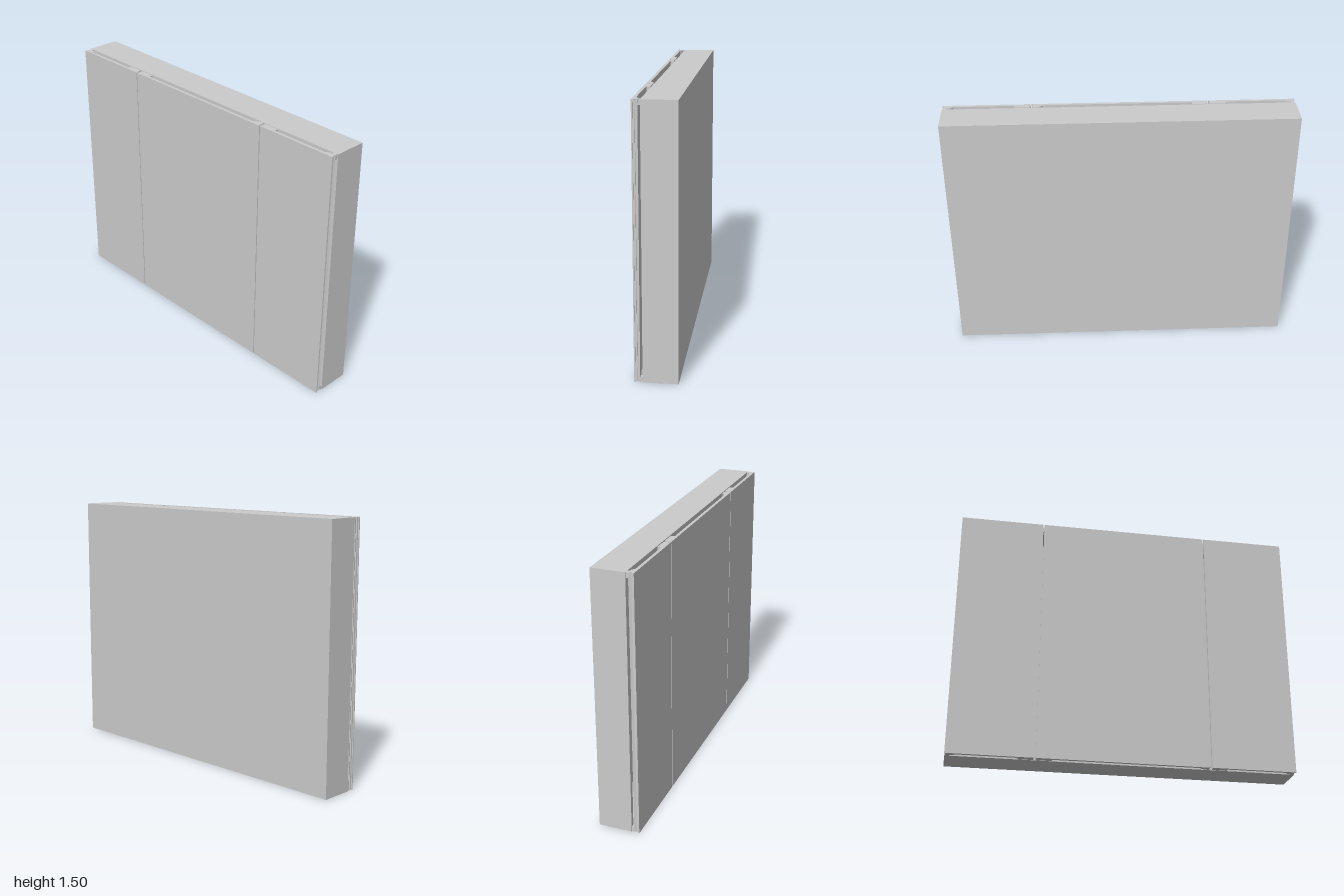
import * as THREE from 'three';

const H = 1.505;          // overall height
const BODY_FRONT = 0.073; // front plane of the cabinet body
const BACK = -0.118;
const FRONT = 0.118;

export function createModel() {
  const model = new THREE.Group();
  const material = new THREE.MeshStandardMaterial({ color: 0xcccccc, flatShading: true });

  // Box given by its extents on each axis
  function box(name, x0, x1, y0, y1, z0, z1, parent = model) {
    const mesh = new THREE.Mesh(new THREE.BoxGeometry(x1 - x0, y1 - y0, z1 - z0), material);
    mesh.position.set((x0 + x1) / 2, (y0 + y1) / 2, (z0 + z1) / 2);
    mesh.name = name;
    parent.add(mesh);
  }

  // Upright bar with a plan profile of [x, z] points
  function upright(name, points, parent) {
    const shape = new THREE.Shape(points.map(([x, z]) => new THREE.Vector2(x, -z)));
    const geometry = new THREE.ExtrudeGeometry(shape, { depth: H, bevelEnabled: false });
    geometry.rotateX(-Math.PI / 2);
    const mesh = new THREE.Mesh(geometry, material);
    mesh.name = name;
    parent.add(mesh);
  }

  // Cabinet body: an open-fronted case behind the doors
  const body = new THREE.Group();
  body.name = 'cabinetBody';
  model.add(body);
  const t = 0.025;
  box('backPanel', -1, 1, 0, H, BACK, BACK + 0.015, body);
  for (const s of [-1, 1]) {
    const a = s, b = s * (1 - t);
    box(s < 0 ? 'rightSide' : 'leftSide', Math.min(a, b), Math.max(a, b), 0, H, BACK + 0.015, BODY_FRONT, body);
  }
  box('bottomPanel', -1 + t, 1 - t, 0, t, BACK + 0.015, BODY_FRONT, body);
  box('topPanel', -1 + t, 1 - t, H - t, H, BACK + 0.015, BODY_FRONT, body);

  // Doors: thin front pane, backing sheet and an edge rail on each side
  // rail styles: 'wedge' slopes into the backing, 'flat' is a square strip
  const doors = [
    { name: 'rightDoor', x0: -1, x1: -0.507, rails: ['wedge', 'flat'] },
    { name: 'middleDoor', x0: -0.501, x1: 0.497, rails: ['flat', 'wedge'] },
    { name: 'leftDoor', x0: 0.503, x1: 1, rails: ['flat', 'wedge'] },
  ];
  for (const { name, x0, x1, rails } of doors) {
    const door = new THREE.Group();
    door.name = name;
    model.add(door);
    box('doorPane', x0, x1, 0, H, 0.111, FRONT, door);
    box('doorBacking', x0 + 0.006, x1 - 0.006, 0, H, 0.101, 0.111, door);
    rails.forEach((style, i) => {
      const s = i ? -1 : 1;             // direction from the edge into the door
      const edge = i ? x1 : x0;
      const profile = style === 'wedge'
        ? [[0.006, 0.106], [0.012, 0.1], [0.004, 0.086], [0.044, 0.086], [0.064, 0.102], [0.064, 0.106]]
        : [[0.006, 0.106], [0.004, 0.086], [0.092, 0.086], [0.095, 0.106]];
      upright('edgeRail', profile.map(([x, z]) => [edge + s * x, z]), door);
    });
  }

  // Hinge blocks joining doors to the body at top and bottom
  for (const [y0, y1] of [[0, 0.03], [H - 0.03, H]]) {
    for (const [x0, x1] of [[-0.995, -0.972], [0.972, 0.995]]) {
      box('hingeBlock', x0, x1, y0, y1, BODY_FRONT - 0.002, 0.09);
    }
    for (const [x0, x1] of [[-0.6, -0.514], [-0.5, -0.41], [0.46, 0.49], [0.51, 0.595]]) {
      box('doorStop', x0, x1, y0, y1, 0.079, 0.09);
    }
  }

  return model;
}
